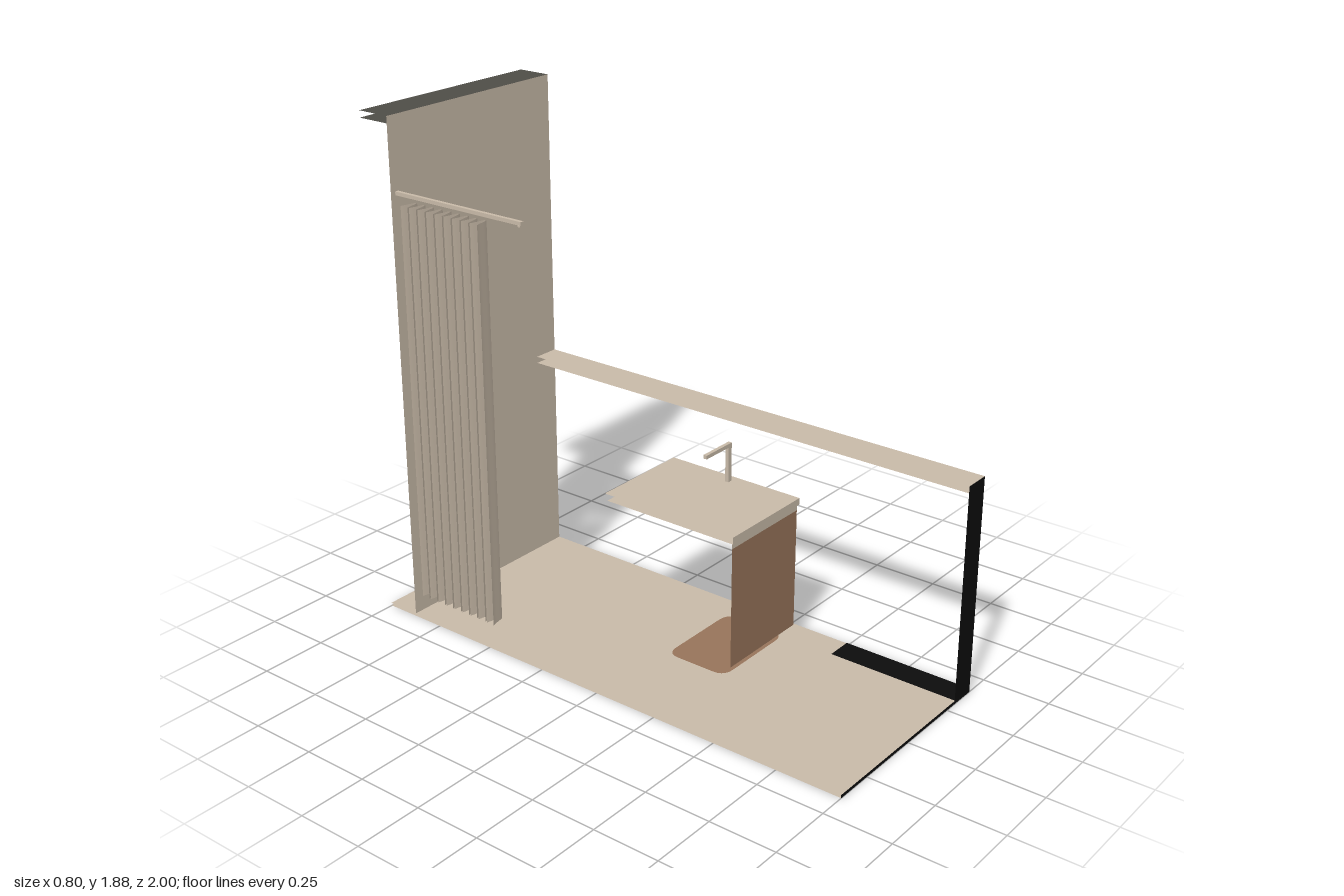
import * as THREE from 'three';

const mat = (name, color) => {
  const m = new THREE.MeshStandardMaterial({ color, side: THREE.DoubleSide });
  m.name = name;
  return m;
};

export function createModel() {
  const beige = mat('beige', 0xc8baa8);
  const brown = mat('brown', 0x97745a);
  const black = mat('black', 0x0c0c0c);
  const grey = mat('dark grey', 0x4f4d47);

  const group = new THREE.Group();
  const add = (name, geometry, material) => {
    const mesh = new THREE.Mesh(geometry, material);
    mesh.name = name;
    group.add(mesh);
    return mesh;
  };
  // Horizontal sheet at height y
  const level = (name, material, x0, x1, z0, z1, y) =>
    add(name, new THREE.PlaneGeometry(x1 - x0, z1 - z0).rotateX(-Math.PI / 2)
      .translate((x0 + x1) / 2, y, (z0 + z1) / 2), material);
  // Upright sheet facing the front at depth z
  const upright = (name, material, x0, x1, y0, y1, z) =>
    add(name, new THREE.PlaneGeometry(x1 - x0, y1 - y0)
      .translate((x0 + x1) / 2, (y0 + y1) / 2, z), material);
  const box = (name, material, x0, x1, y0, y1, z0, z1) =>
    add(name, new THREE.BoxGeometry(x1 - x0, y1 - y0, z1 - z0)
      .translate((x0 + x1) / 2, (y0 + y1) / 2, (z0 + z1) / 2), material);

  // Floor slab, open at its sides
  level('floorTop', beige, -0.4, 0.4, -1, 1, 0.012);
  level('floorUnderside', beige, -0.4, 0.4, -1, 1, 0.002);
  upright('floorFrontEdge', black, -0.4, 0.3, 0, 0.012, 1);

  // Back wall with its capping
  upright('backWall', beige, -0.4, 0.4, 0.012, 1.88, -0.87);
  level('wallCapTop', grey, -0.4, 0.4, -1, -0.87, 1.88);
  level('wallCapUnderside', grey, -0.4, 0.4, -1, -0.87, 1.855);

  // Low side wall: front end and ledge
  upright('lowWallEnd', black, 0.3, 0.4, 0, 0.815, 1);
  level('ledgeTop', beige, 0.3, 0.4, -1, 1, 0.815);
  level('ledgeUnderside', beige, 0.3, 0.4, -1, 1, 0.79);

  // Floor patches, showing on both faces of the slab
  const mat2d = new THREE.Shape();
  const [w, d, r] = [0.18, 0.125, 0.05];
  mat2d.moveTo(-w + r, -d);
  mat2d.lineTo(w - r, -d).quadraticCurveTo(w, -d, w, -d + r);
  mat2d.lineTo(w, d - r).quadraticCurveTo(w, d, w - r, d);
  mat2d.lineTo(-w + r, d).quadraticCurveTo(-w, d, -w, d - r);
  mat2d.lineTo(-w, -d + r).quadraticCurveTo(-w, -d, -w + r, -d);
  for (const y of [0, 0.014]) {
    add('floorMat', new THREE.ShapeGeometry(mat2d, 5).rotateX(-Math.PI / 2)
      .translate(0.125, y, 0.165), brown);
    level('lowWallFoot', black, 0.3, 0.4, 0.5, 1, y);
  }

  // Vanity: cabinet front, counter and tap
  upright('cabinetFront', brown, -0.08, 0.3, 0.075, 0.53, 0.335);
  upright('cabinetRail', beige, -0.08, 0.3, 0.53, 0.555, 0.335);
  level('counterUnderside', beige, -0.09, 0.3, -0.2, 0.345, 0.555);
  level('counterTop', beige, -0.09, 0.3, -0.21, 0.345, 0.58);
  upright('counterFrontEdge', beige, -0.09, 0.3, 0.555, 0.58, 0.345);
  box('tapPost', beige, 0.25, 0.268, 0.58, 0.728, 0.06, 0.074);
  box('tapSpout', beige, 0.122, 0.25, 0.714, 0.728, 0.06, 0.074);

  // Curtain rail
  box('curtainRail', beige, -0.38, -0.366, 1.605, 1.618, -0.87, -0.3);
  box('railEnd', beige, -0.382, -0.364, 1.6, 1.605, -0.312, -0.3);

  // Curtain: narrow curved pleats running between the fold crests
  const pleats = 18, pitch = 0.02, steps = 6;
  for (let i = 0; i < pleats; i++) {
    const geo = new THREE.PlaneGeometry(1, 1.48, steps, 1);
    const p = geo.attributes.position;
    for (let k = 0; k < p.count; k++) {
      const a = p.getX(k) * 2.05;
      const z = -0.82 + i * pitch + (a / Math.PI) * pitch;
      const x = -0.371 + 0.034 * Math.sin(a) * (i % 2 ? -1 : 1);
      p.setXYZ(k, x, p.getY(k) + 0.84, z);
    }
    geo.computeVertexNormals();
    add('curtainPleat', geo, beige);
  }
  return group;
}
